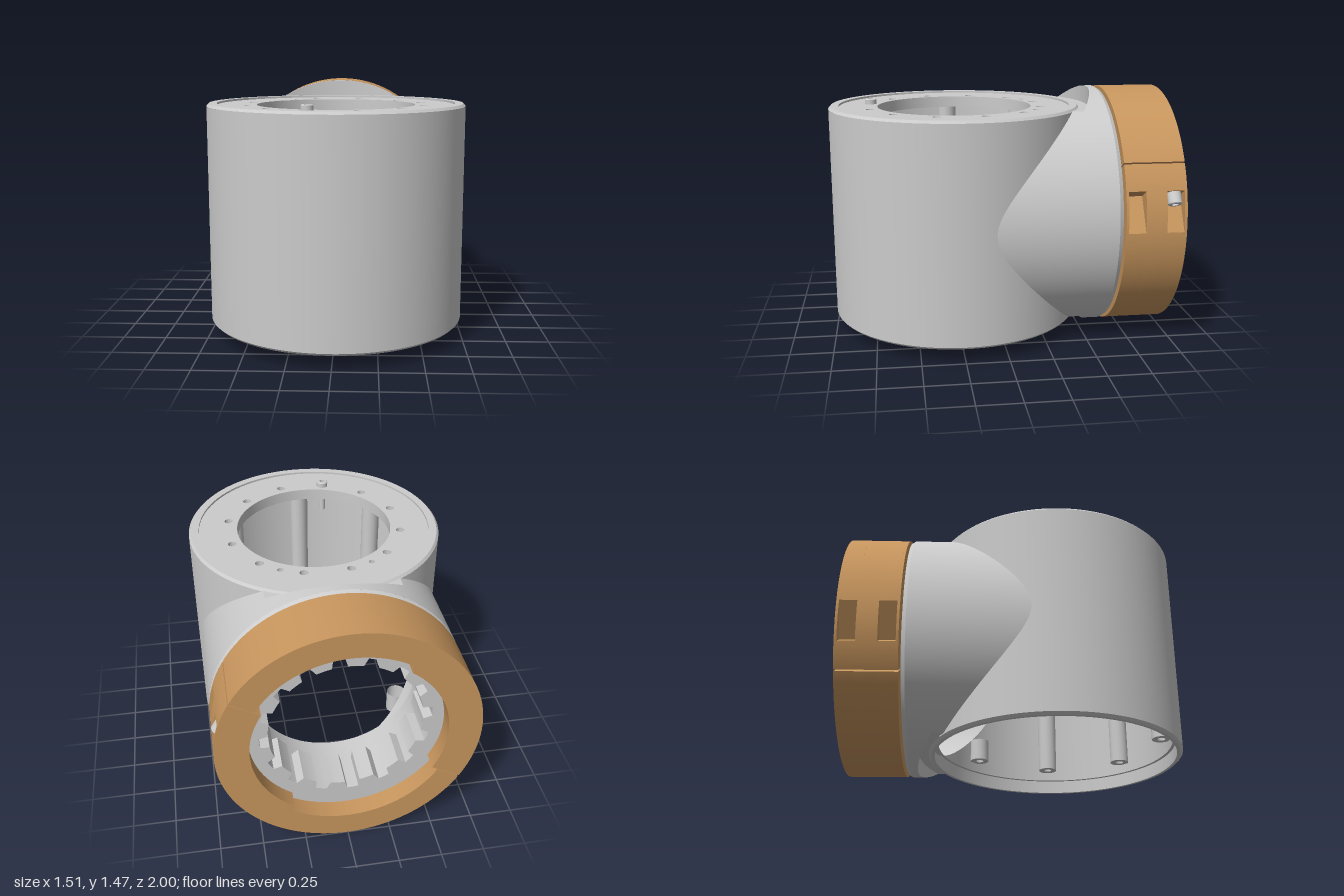
import * as THREE from 'three';
import { toCreasedNormals } from 'three/addons/utils/BufferGeometryUtils.js';

const GREY = new THREE.MeshStandardMaterial({ color: 0xcccccc, side: THREE.DoubleSide });
const BROWN = new THREE.MeshStandardMaterial({ color: 0xc8965e, side: THREE.DoubleSide });

const AXIS_Z = 0.245;   // z of the upright tube's axis
const AXIS_Y = 0.74;    // y of the side tube's axis
const R_SIDE = 0.735, R_BORE = 0.6;
const LEDGE = 0.628, R_CUT = 0.815;   // half height and radius of the cuts above and below the joint
const { sin, cos, sqrt, abs, PI, min } = Math;
const rad = THREE.MathUtils.degToRad;

function mesh(name, geo, mat = GREY) {
  const m = new THREE.Mesh(toCreasedNormals(geo, 0.5), mat);
  m.name = name;
  return m;
}

// Surface through f(u, v), with u and v from 0 to 1
function grid(f, nu, nv) {
  const pos = [], idx = [];
  for (let i = 0; i <= nu; i++) for (let j = 0; j <= nv; j++) pos.push(...f(i / nu, j / nv));
  for (let i = 0; i < nu; i++) for (let j = 0; j < nv; j++) {
    const a = i * (nv + 1) + j, b = a + nv + 1;
    idx.push(a, b, a + 1, b, b + 1, a + 1);
  }
  const g = new THREE.BufferGeometry();
  g.setAttribute('position', new THREE.Float32BufferAttribute(pos, 3));
  g.setIndex(idx);
  g.computeVertexNormals();
  return g;
}

const lathe = (pts, n = 96) => new THREE.LatheGeometry(pts.map(p => new THREE.Vector2(...p)), n);
const latheY = pts => lathe(pts).translate(0, 0, AXIS_Z);
const latheZ = pts => lathe(pts).rotateX(PI / 2).translate(0, AXIS_Y, 0);

function extrude(shape, z0, z1) {
  return new THREE.ExtrudeGeometry(shape, { depth: z1 - z0, bevelEnabled: false, curveSegments: 48 }).translate(0, 0, z0);
}

function hole(shape, x, y, r) {
  shape.holes.push(new THREE.Path().absarc(x, y, r, 0, PI * 2, true));
}

// Upright wall with a round opening at the back; s = -1 lower part, 1 upper part
function wall(r, holeR, yEnd, s) {
  return grid((u, v) => {
    const a = u * PI * 2, x = r * sin(a), c = cos(a);
    const h = c < 0 && abs(x) < holeR ? sqrt(holeR * holeR - x * x) : 0;
    const y0 = AXIS_Y + s * min(h, abs(yEnd - AXIS_Y));
    return [x, y0 + (yEnd - y0) * v, AXIS_Z + r * c];
  }, 360, 1);
}

// Back of an upright cylinder of radius r, at x
const backZ = (r, x) => AXIS_Z - sqrt(r * r - x * x);

// Sector of a tube along z, from angle t0 to t1 off straight up, running from
// the upright cylinder of radius rStart to zEnd
function tubeSector(r, t0, t1, rStart, zEnd) {
  return grid((u, v) => {
    const t = t0 + (t1 - t0) * u, x = r * sin(t), z = backZ(rStart, x);
    return [x, AXIS_Y + r * cos(t), z + (zEnd - z) * v];
  }, 120, 1);
}

function screw(r, headH, length) {
  return lathe([[0, -length], [r * 0.55, -length], [r * 0.55, 0], [r, 0], [r, headH - 0.005], [r - 0.005, headH],
    [r * 0.5, headH], [r * 0.5, headH * 0.4], [0, headH * 0.4]], 20);
}

function upright(g) {
  for (const s of [-1, 1]) {
    g.add(mesh('uprightOuterWall', wall(0.755, 0.715, s < 0 ? 0.105 : 1.365, s)));
    g.add(mesh('uprightInnerWall', wall(0.70, R_BORE, s < 0 ? 0.17 : 1.3, s)));
  }
  g.add(mesh('topRim', latheY([[0.755, 1.365], [0.742, 1.38], [0.695, 1.38], [0.695, 1.34]])));
  g.add(mesh('bottomRim', latheY([[0.755, 0.105], [0.74, 0.09], [0.72, 0.09], [0.72, 0.17], [0.70, 0.17]])));

  // Top flange with its ring of bolt holes
  const plate = new THREE.Shape().absarc(0, 0, 0.7, 0, PI * 2, false);
  hole(plate, 0, 0, 0.465);
  for (let i = 0; i < 12; i++) {
    const a = rad(15 + 30 * i);
    hole(plate, 0.525 * sin(a), 0.525 * cos(a), 0.025);
  }
  for (const s of [-1, 1]) hole(plate, s * 0.263, 0.457, 0.018);
  g.add(mesh('topFlange', extrude(plate, 1.3, 1.368).rotateX(-PI / 2).translate(0, 0, AXIS_Z)));
  g.add(mesh('flangeScrew', screw(0.035, 0.032, 0.17).translate(-0.136, 1.368, AXIS_Z + 0.507)));

  // Inner screw columns, interrupted where the side bore opens
  for (let i = 0; i < 8; i++) {
    if (i === 4) continue;
    const a = rad(45 * i), atBore = i === 3 || i === 5;
    const spans = atBore ? [[0.225, 0.36], [1.12, 1.3]] : [[0.225, 1.3]];
    for (const [y0, y1] of spans) {
      const col = lathe([[0, y0 + 0.03], [0.025, y0 + 0.03], [0.025, y0], [0.058, y0], [0.058, y1]], 20);
      g.add(mesh('screwColumn', col.translate(0.65 * sin(a), 0, AXIS_Z + 0.65 * cos(a))));
    }
  }
}

function sideTube(g) {
  const t = Math.acos(LEDGE / R_SIDE), halfW = R_SIDE * sin(t);
  for (const s of [-1, 1]) {
    g.add(mesh('sideOuterWall', tubeSector(R_SIDE, s * t, s * (PI - t), 0.745, -0.615)));

    // Flat ledge and upright face where the side tube stands past the upright tube
    const mid = s > 0 ? 0 : PI;
    g.add(mesh('sideCrown', tubeSector(R_SIDE, mid - t, mid + t, R_CUT, -0.615)));
    g.add(mesh('ledge', grid((u, v) => {
      const x = halfW * (2 * u - 1);
      return [x, AXIS_Y + s * LEDGE, backZ(0.73 + (R_CUT - 0.73) * v, x)];
    }, 48, 1)));
    g.add(mesh('ledgeFace', grid((u, v) => {
      const a = t * (2 * u - 1), x = R_SIDE * sin(a);
      return [x, AXIS_Y + s * (LEDGE + (R_SIDE * cos(a) - LEDGE) * v), backZ(R_CUT, x)];
    }, 48, 1)));
  }
  g.add(mesh('sideBore', tubeSector(R_BORE, 0, PI * 2, 0.7, -0.63)));
  g.add(mesh('sideEndFace', latheZ([[0.735, -0.615], [0.722, -0.637], [0.62, -0.637], [0.59, -0.648], [0.59, -0.88]])));

  // Toothed ring with a smooth sleeve behind it
  const outline = () => new THREE.Shape().absarc(0, 0, 0.6, 0, PI * 2, false);
  const ring = outline(), teeth = new THREE.Path(), N = 16, step = PI * 2 / N;
  for (let i = 0; i < N; i++) {
    const a = i * step;
    teeth.absarc(0, 0, 0.435, a, a + step * 0.5, false);
    teeth.absarc(0, 0, 0.485, a + step * 0.58, a + step * 0.92, false);
  }
  teeth.closePath();
  ring.holes.push(teeth);
  hole(ring, 0.525 * cos(rad(12)), 0.525 * sin(rad(12)), 0.016);
  g.add(mesh('toothedRing', extrude(ring, -0.88, -0.65).translate(0, AXIS_Y, 0)));
  const sleeve = outline();
  hole(sleeve, 0, 0, 0.485);
  g.add(mesh('sleeve', extrude(sleeve, -0.65, -0.5).translate(0, AXIS_Y, 0)));
}

// Cross-section of one clamp half, its split along the x axis
function clampShape(lip, pocket) {
  const s = new THREE.Shape(), gap = 0.006, R = R_SIDE;
  s.absarc(0, 0, R, -PI + gap, pocket ? -Math.acos(0.63 / R) : -0.3, false);
  if (pocket) s.lineTo(0.63, -0.16);
  s.absarc(0, 0, R, -Math.asin(0.16 / R), -gap, false);
  if (lip) {
    s.absarc(0, 0, 0.545, -gap, rad(-85), true);
    s.absarc(0, 0, 0.585, rad(-87), -PI + gap, true);
  } else s.absarc(0, 0, 0.615, -gap, -PI + gap, true);
  s.closePath();
  return s;
}

function clamp(g) {
  // z from, z to, has inner lip, has screw pocket
  const layers = [[-1, -0.985, 1, 0], [-0.985, -0.9, 1, 1], [-0.9, -0.885, 0, 1],
    [-0.885, -0.765, 0, 0], [-0.765, -0.665, 0, 1], [-0.665, -0.65, 0, 0]];
  for (const turn of [0, PI]) {
    const half = new THREE.Group();
    half.name = 'clampHalf';
    for (const [z0, z1, lip, pocket] of layers)
      half.add(mesh('clampLayer', extrude(clampShape(lip, pocket), z0, z1), BROWN));
    if (!turn) half.add(mesh('clampScrew', screw(0.04, 0.07, 0.1).rotateX(PI).translate(0.675, -0.16, -0.935)));
    half.rotation.z = rad(30) + turn;
    half.position.y = AXIS_Y;
    g.add(half);
  }
}

export function createModel() {
  const group = new THREE.Group();
  group.name = 'tubeJoint';
  for (const [name, build] of [['uprightTube', upright], ['sideTube', sideTube], ['clampRing', clamp]]) {
    const part = new THREE.Group();
    part.name = name;
    build(part);
    group.add(part);
  }
  return group;
}
